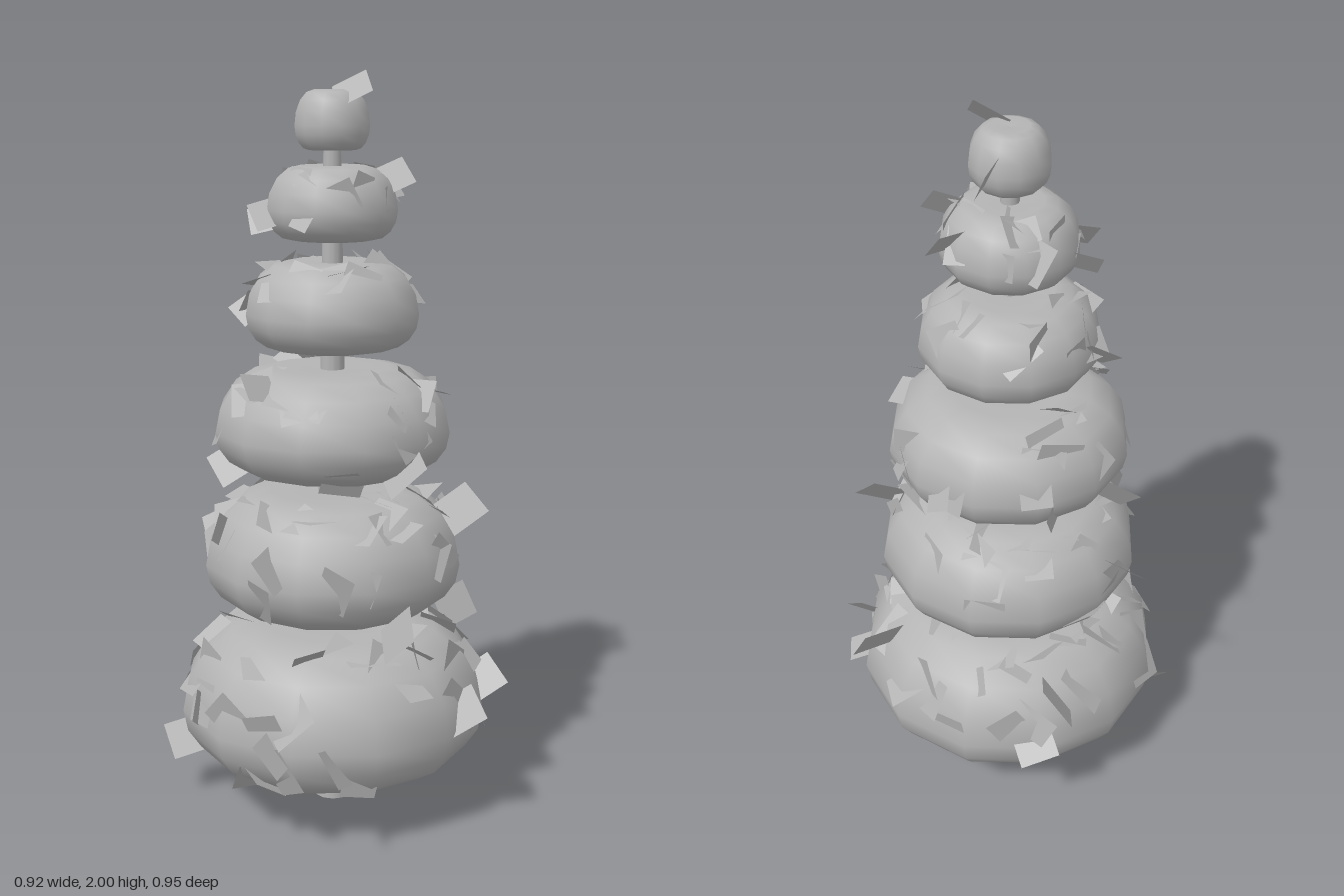
import * as THREE from 'three';

const grey = new THREE.MeshStandardMaterial({ color: 0xb4b4b4 });
grey.name = 'plain grey';
const greyLeaf = new THREE.MeshStandardMaterial({ color: 0xb4b4b4, side: THREE.DoubleSide });
greyLeaf.name = 'leaf grey';

const CX = -0.018, CZ = -0.007;

// seeded random numbers
let seed = 7;
const rnd = () => {
  seed = (seed * 16807) % 2147483647;
  return seed / 2147483647;
};
const spread = (a) => (rnd() * 2 - 1) * a;

// cushion outline: hollow underside, round the rim, to the domed top
function cushionOutline(r, h) {
  const points = [[0, 0.27], [0.22, 0.22], [0.42, 0.08]].map(([a, b]) => new THREE.Vector2(a * r, b * h));
  for (let i = 0; i <= 8; i++) {
    const a = -Math.PI / 2 + (i / 8) * Math.PI;
    const s = Math.sin(a);
    const y = 0.4 + s * (s < 0 ? 0.4 : 0.58);
    const inner = s < 0 ? 0.62 : 0.48;
    points.push(new THREE.Vector2(r * (inner + (1 - inner) * Math.cos(a)), h * y));
  }
  points.push(new THREE.Vector2(0, 0.95 * h));
  return points;
}

// radius, bottom, height, leaf count
const tiers = [
  [0.425, 0.135, 0.4, 54],
  [0.353, 0.573, 0.33, 44],
  [0.32, 0.953, 0.285, 34],
  [0.234, 1.283, 0.235, 24],
  [0.175, 1.568, 0.195, 22],
  [0.1, 1.797, 0.155, 0],
];

// centres of the leaves that break the outline
const outerLeaves = [
  [-0.37, 0.17, 0.19], [0.05, 0.3, 0.41], [0.2, 0.27, 0.36], [0.39, 0.34, 0.03],
  [0.36, 0.36, -0.16], [0.19, 0.49, -0.36], [-0.34, 0.47, -0.28], [0.03, 0.33, -0.4],
  [0.31, 0.61, 0.24], [0.29, 0.84, -0.16], [-0.37, 0.75, 0], [0, 0.76, 0.33],
  [-0.3, 0.95, 0.05], [0.25, 1, 0.1], [-0.08, 1.21, 0.26], [-0.25, 1.38, 0.03],
  [-0.19, 1.62, 0.04], [-0.13, 1.64, 0.12], [0.13, 1.73, -0.06], [0.05, 1.7, -0.17],
  [0.05, 1.95, 0.01], [-0.03, 1.87, -0.12],
];

function leaf(parent, pos, normal, roll, w, h) {
  const m = new THREE.Mesh(new THREE.PlaneGeometry(w, h), greyLeaf);
  m.name = 'leaf';
  m.position.set(...pos);
  m.quaternion.setFromUnitVectors(new THREE.Vector3(0, 0, 1), new THREE.Vector3(...normal).normalize());
  m.rotateZ(roll);
  parent.add(m);
}

export function createModel() {
  const tree = new THREE.Group();
  tree.name = 'tieredTree';

  // tapering trunk
  const trunk = new THREE.Mesh(new THREE.CylinderGeometry(0.022, 0.053, 1.86, 12), grey);
  trunk.name = 'trunk';
  trunk.position.set(CX, 0.93, CZ);
  tree.add(trunk);

  tiers.forEach(([r, y, h, count], i) => {
    const tier = new THREE.Group();
    tier.name = 'tier' + (i + 1);
    const points = cushionOutline(r, h);
    const cushion = new THREE.Mesh(new THREE.LatheGeometry(points, 12, Math.PI / 12), grey);
    cushion.name = 'foliage';
    cushion.position.set(CX, y, CZ);
    tier.add(cushion);

    // scattered leaves sunk into the cushion, mostly on the upper shoulder
    const size = 0.06 + 0.05 * (r / 0.42);
    for (let k = 0; k < count; k++) {
      const t = rnd() < 0.1 ? 4 + rnd() * 2 : 7 + rnd() * 4;
      const j = Math.floor(t);
      const p = points[j].clone().lerp(points[j + 1], t - j);
      const d = points[j + 1].clone().sub(points[j]).normalize();
      const a = ((k + rnd()) / count) * Math.PI * 10;
      const s = Math.sin(a), c = Math.cos(a);
      const reach = p.x - 0.014 * d.y;
      leaf(tier, [CX + reach * s, y + p.y + 0.014 * d.x, CZ + reach * c],
        [d.y * s + spread(0.6), -d.x + spread(0.6), d.y * c + spread(0.6)],
        spread(Math.PI), size * (0.9 + rnd() * 0.4), size * (0.7 + rnd() * 0.3));
    }
    tree.add(tier);
  });

  // outer leaves stand edge-on to the trunk and lean upward
  const outer = new THREE.Group();
  outer.name = 'outerLeaves';
  outerLeaves.forEach(([x, y, z]) => {
    const size = y > 1.2 ? 0.085 : 0.11;
    const len = Math.hypot(x, z);
    const side = z > x ? 1 : -1;
    leaf(outer, [x, y, z],
      [side * z / len + spread(0.2), 0.65 + spread(0.2), -side * x / len + spread(0.2)],
      0.3 + rnd() * 0.6, size * 1.15, size * 0.95);
  });
  tree.add(outer);

  return tree;
}
